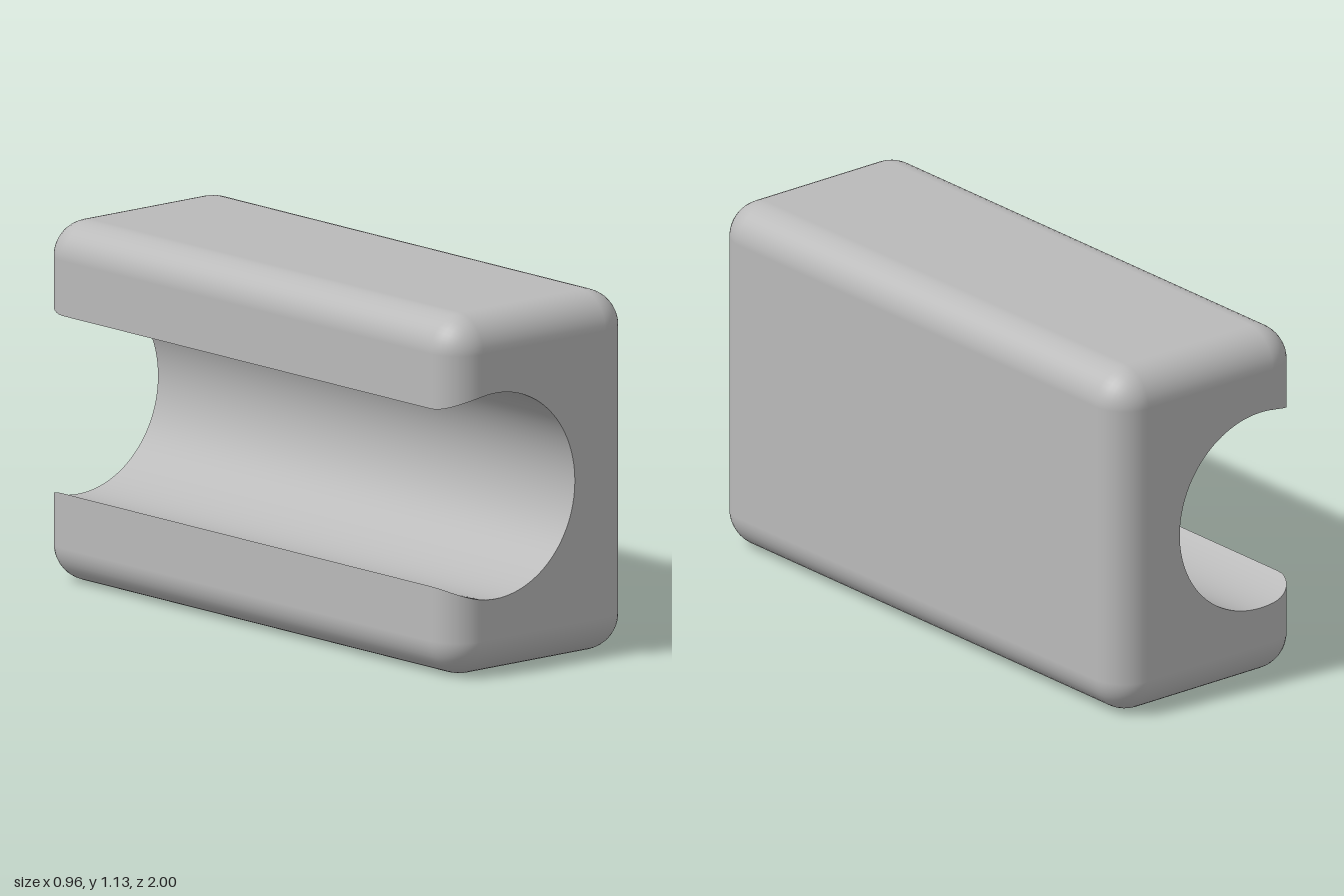
import * as THREE from 'three';

// Local dimensions before the block is turned about y
const RADIUS = 0.115;                 // edge rounding
const CORE = new THREE.Vector3(0.249, 0.4525, 0.859); // half size of the box inside the rounding
const BORE_R = 0.324, BORE_X = -0.2;  // round channel along z, open on the -x side
const TURN = 0.138;
const ARC = 10, BORE_STEPS = 64;

// z and corner radius of each cross-section, back to front
function stations() {
  const list = [];
  for (let i = 0; i <= ARC; i++) {
    const t = (i / ARC) * Math.PI / 2;
    list.push({ z: CORE.z + RADIUS * Math.cos(t), rho: RADIUS * Math.sin(t) });
  }
  return [...list.map(s => ({ z: -s.z, rho: s.rho })), ...list.reverse()];
}

// Angle of the upper lip, where the channel breaks through the side
const lipAngle = rho => Math.acos((-CORE.x - rho - BORE_X) / BORE_R);

// Outside of a section, from the lower lip round to the upper lip
function outerLine(rho) {
  const lipY = BORE_R * Math.sin(lipAngle(rho));
  const pts = [[-CORE.x - rho, -lipY]];
  [[-1, -1], [1, -1], [1, 1], [-1, 1]].forEach(([sx, sy], k) => {
    for (let i = 0; i <= ARC; i++) {
      const a = Math.PI + (k + i / ARC) * Math.PI / 2;
      pts.push([sx * CORE.x + rho * Math.cos(a), sy * CORE.y + rho * Math.sin(a)]);
    }
  });
  pts.push([-CORE.x - rho, lipY]);
  return pts;
}

// Channel wall of a section, from the upper lip to the lower lip
function boreLine(rho) {
  const a0 = lipAngle(rho), pts = [];
  for (let i = 0; i <= BORE_STEPS; i++) {
    const a = a0 * (1 - 2 * i / BORE_STEPS);
    pts.push([BORE_X + BORE_R * Math.cos(a), BORE_R * Math.sin(a)]);
  }
  return pts;
}

// Skin a line through all stations, with exact normals
function loft(line, normalAt) {
  const pos = [], nor = [], index = [];
  const rows = stations();
  let n = 0;
  rows.forEach(({ z, rho }, i) => {
    const pts = line(rho);
    n = pts.length;
    pts.forEach(([x, y], j) => {
      const p = new THREE.Vector3(x, y, z);
      pos.push(x, y, z);
      nor.push(...normalAt(p).normalize().toArray());
      if (i < rows.length - 1 && j < n - 1) {
        const a = i * n + j, b = a + 1, c = a + n, d = c + 1;
        index.push(a, b, c, b, d, c);
      }
    });
  });
  const g = new THREE.BufferGeometry();
  g.setAttribute('position', new THREE.Float32BufferAttribute(pos, 3));
  g.setAttribute('normal', new THREE.Float32BufferAttribute(nor, 3));
  g.setIndex(index);
  return g;
}

export function createModel() {
  const grey = new THREE.MeshStandardMaterial({ color: 0xbababa });
  grey.name = 'grey';

  const block = new THREE.Group();
  block.name = 'channelBlock';
  const add = (name, geometry) => {
    const mesh = new THREE.Mesh(geometry, grey);
    mesh.name = name;
    block.add(mesh);
    return mesh;
  };

  // Rounded outside
  const low = CORE.clone().negate();
  add('roundedShell', loft(outerLine, p => p.clone().sub(p.clone().clamp(low, CORE))));

  // Round channel
  add('channelWall', loft(boreLine, p => new THREE.Vector3(BORE_X - p.x, -p.y, 0)));

  // Flat end faces
  const { x, y } = CORE;
  const outline = [[-x, -y], [x, -y], [x, y], [-x, y], ...boreLine(0)];
  const face = new THREE.ShapeGeometry(
    new THREE.Shape(outline.map(([px, py]) => new THREE.Vector2(px, py))));
  add('frontFace', face).position.z = CORE.z + RADIUS;

  const backOutline = outline.map(([px, py]) => new THREE.Vector2(-px, py));
  const back = add('backFace', new THREE.ShapeGeometry(new THREE.Shape(backOutline)));
  back.rotation.y = Math.PI;
  back.position.z = -CORE.z - RADIUS;

  block.rotation.y = TURN;
  block.position.y = CORE.y + RADIUS;

  const model = new THREE.Group();
  model.name = 'model';
  model.add(block);
  return model;
}
